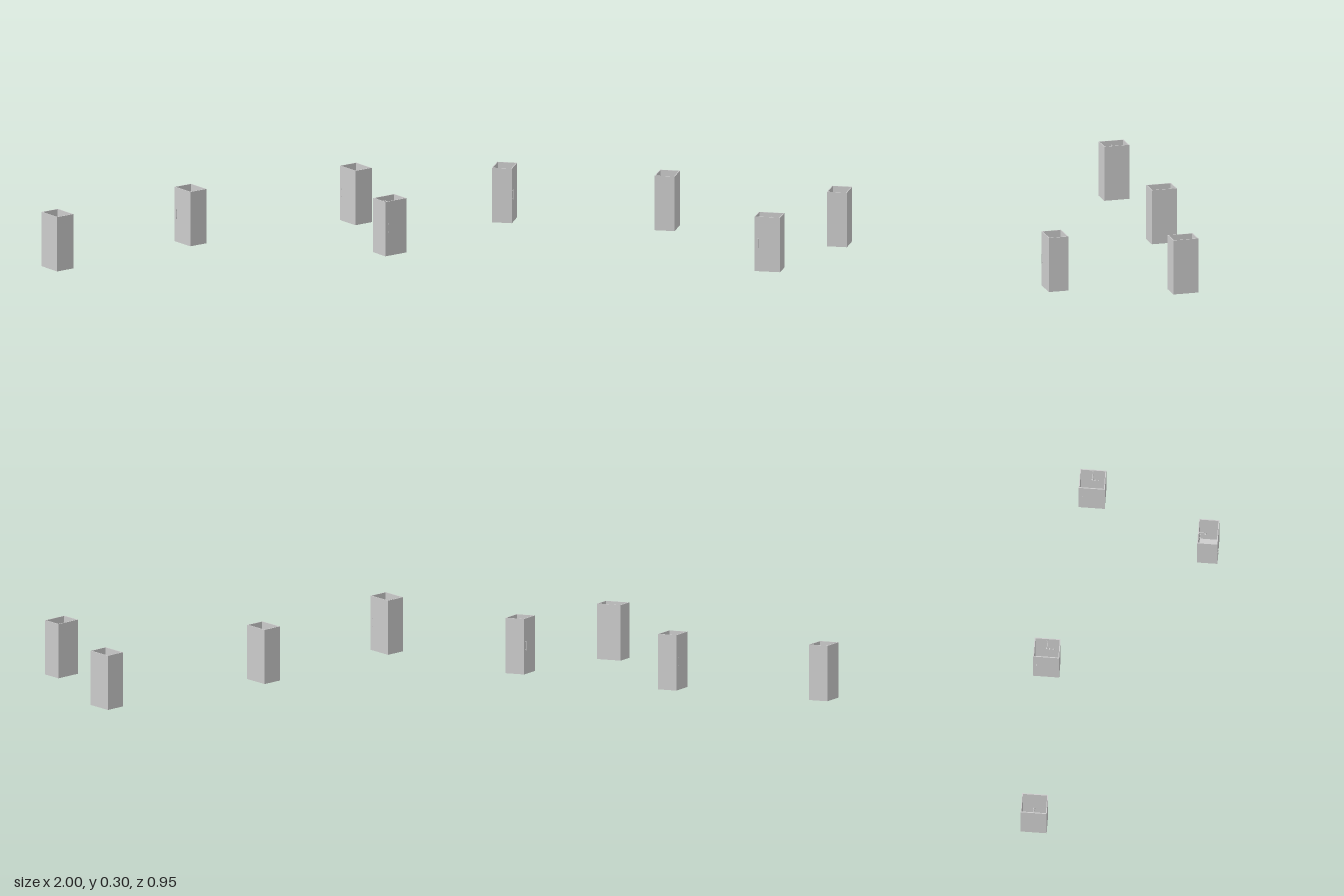
import * as THREE from 'three';

const W = 0.142, H = 0.304, D = 0.111, T = 0.005;
const grey = new THREE.MeshStandardMaterial({ color: 0xcccccc });

function add(parent, name, geometry, x, y, z) {
  const mesh = new THREE.Mesh(geometry, grey);
  mesh.name = name;
  mesh.position.set(x, y, z);
  parent.add(mesh);
  return mesh;
}

// One open-topped shower cubicle; the door faces +z
function createCubicle() {
  const g = new THREE.Group();
  g.name = 'showerCubicle';

  // Floor and walls
  const h = H - T, midY = T + h / 2;
  add(g, 'floor', new THREE.BoxGeometry(W, T, D), 0, T / 2, 0);
  add(g, 'backWall', new THREE.BoxGeometry(W, h, T), 0, midY, -D / 2 + T / 2);
  add(g, 'door', new THREE.BoxGeometry(W, h, T), 0, midY, D / 2 - T / 2);
  for (const s of [-1, 1]) {
    add(g, s > 0 ? 'leftWall' : 'rightWall',
      new THREE.BoxGeometry(T, h, D - 2 * T), s * (W / 2 - T / 2), midY, 0);
  }

  // Door handle: an upright bar on two short posts
  const hx = -0.052, hy = 0.156, front = D / 2;
  add(g, 'handleBar', new THREE.BoxGeometry(0.005, 0.052, 0.002), hx, hy, front + 0.004);
  for (const s of [-1, 1]) {
    add(g, 'handlePost', new THREE.BoxGeometry(0.004, 0.004, 0.003), hx, hy + s * 0.022, front + 0.0015);
  }

  // Shower arm, bent down to the head
  const wallZ = -D / 2 + T, armY = 0.28;
  const arm = new THREE.CatmullRomCurve3([
    new THREE.Vector3(0, armY, wallZ),
    new THREE.Vector3(0, armY, wallZ + 0.02),
    new THREE.Vector3(0, armY - 0.001, wallZ + 0.031),
    new THREE.Vector3(0, armY - 0.008, wallZ + 0.036),
  ]);
  add(g, 'showerArm', new THREE.TubeGeometry(arm, 14, 0.0018, 8), 0, 0, 0);
  add(g, 'showerHead', new THREE.CylinderGeometry(0.002, 0.0065, 0.008, 16), 0, armY - 0.012, wallZ + 0.037);
  const flange = add(g, 'armFlange', new THREE.CylinderGeometry(0.005, 0.005, 0.002, 16), 0, armY, wallZ + 0.001);
  flange.rotation.x = Math.PI / 2;

  // Pair of taps beside the arm
  for (const x of [0.012, 0.032]) {
    const stem = add(g, 'tapStem', new THREE.CylinderGeometry(0.0015, 0.0015, 0.006, 8), x, 0.165, wallZ + 0.003);
    const knob = add(g, 'tapKnob', new THREE.CylinderGeometry(0.004, 0.005, 0.004, 12), x, 0.165, wallZ + 0.007);
    stem.rotation.x = knob.rotation.x = Math.PI / 2;
  }
  return g;
}

export function createModel() {
  const model = new THREE.Group();
  model.name = 'showerCubicles';
  // x, z and quarter turns of each cubicle
  const places = [
    [-0.9445, -0.405, 1],
    [-0.044, -0.405, -1],
    [0.9445, -0.232, -1],
    [0.69, 0.4165, 0],
  ];
  for (const [x, z, turns] of places) {
    const c = createCubicle();
    c.position.set(x, 0, z);
    c.rotation.y = turns * Math.PI / 2;
    model.add(c);
  }
  return model;
}
